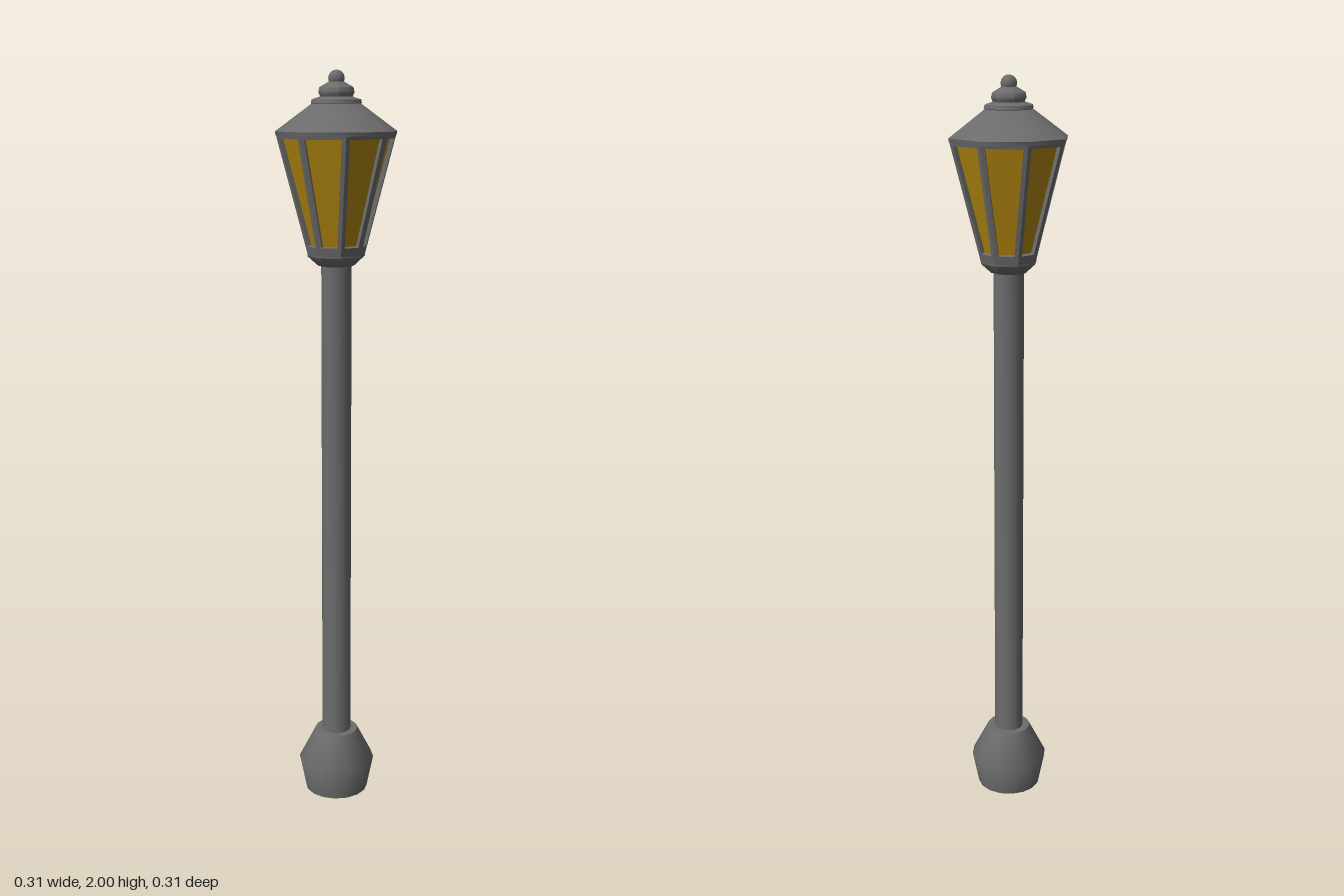
import * as THREE from 'three';
import { toCreasedNormals } from 'three/addons/utils/BufferGeometryUtils.js';

const metal = new THREE.MeshStandardMaterial({ color: 0x6c6c6c });
metal.name = 'grey metal';
const amber = new THREE.MeshStandardMaterial({ color: 0xb0850f });
amber.name = 'amber glass';

const SIDES = 8;
const TURN = 0.2; // twist of the octagonal head around the post

// Turned part from [radius, height] pairs, listed bottom to top
function turned(name, profile, sides, turn = 0) {
  const points = profile.map(([r, y]) => new THREE.Vector2(r, y));
  const geometry = toCreasedNormals(new THREE.LatheGeometry(points, sides), 0.83);
  const mesh = new THREE.Mesh(geometry, metal);
  mesh.name = name;
  mesh.rotation.y = turn;
  return mesh;
}

// Mesh from quads given counter-clockwise as seen from outside
function quadMesh(name, quads, material) {
  const positions = [];
  for (const [a, b, c, d] of quads) {
    for (const p of [a, b, c, a, c, d]) positions.push(p.x, p.y, p.z);
  }
  const geometry = new THREE.BufferGeometry();
  geometry.setAttribute('position', new THREE.Float32BufferAttribute(positions, 3));
  geometry.computeVertexNormals();
  const mesh = new THREE.Mesh(geometry, material);
  mesh.name = name;
  return mesh;
}

// Eight tapered windows: a border, a reveal stepping inwards, and a recessed pane
function createLantern() {
  const bottom = { y: 1.535, r: 0.076 };
  const top = { y: 1.842, r: 0.157 };
  const border = 0.011;
  const depth = 0.012;
  const frame = [];
  const panes = [];
  const corner = (level, i) => {
    const angle = TURN + (i * Math.PI * 2) / SIDES;
    return new THREE.Vector3(Math.sin(angle) * level.r, level.y, Math.cos(angle) * level.r);
  };
  for (let i = 0; i < SIDES; i++) {
    const outer = [corner(bottom, i), corner(bottom, i + 1), corner(top, i + 1), corner(top, i)];
    const along = outer[1].clone().sub(outer[0]).normalize();
    const up = outer[2].clone().add(outer[3]).sub(outer[0]).sub(outer[1]).normalize();
    const inward = up.clone().cross(along).normalize().multiplyScalar(depth);
    // Pull the opening in from each edge of the side
    const lowIn = 0.022, highIn = 0.012;
    const inner = [
      outer[0].clone().lerp(outer[3], lowIn / 0.31).addScaledVector(along, border),
      outer[1].clone().lerp(outer[2], lowIn / 0.31).addScaledVector(along, -border),
      outer[2].clone().lerp(outer[1], highIn / 0.31).addScaledVector(along, -border),
      outer[3].clone().lerp(outer[0], highIn / 0.31).addScaledVector(along, border),
    ];
    const recessed = inner.map((p) => p.clone().add(inward));
    for (let k = 0; k < 4; k++) {
      const n = (k + 1) % 4;
      frame.push([outer[k], outer[n], inner[n], inner[k]]);
      frame.push([inner[k], inner[n], recessed[n], recessed[k]]);
    }
    panes.push(recessed);
  }
  const lantern = new THREE.Group();
  lantern.name = 'lantern';
  lantern.add(quadMesh('windowFrame', frame, metal), quadMesh('windowPanes', panes, amber));
  return lantern;
}

export function createModel() {
  const model = new THREE.Group();
  model.name = 'streetLamp';

  // Foot and post
  model.add(turned('foot', [[0, 0], [0.088, 0], [0.106, 0.09], [0.06, 0.18], [0, 0.18]], 16));
  model.add(turned('post', [[0.04, 0.15], [0.04, 1.52]], 16));

  // Collar flaring out under the lantern
  model.add(turned('collar', [[0, 1.505], [0.048, 1.505], [0.076, 1.53], [0.076, 1.536]], SIDES, TURN));
  model.add(createLantern());

  // Roof with a thin rim
  model.add(turned('roof', [
    [0, 1.838], [0.157, 1.838], [0.159, 1.848], [0.062, 1.918], [0, 1.918],
  ], SIDES, TURN));

  // Stepped cap
  model.add(turned('cap', [
    [0.058, 1.912], [0.066, 1.918], [0.064, 1.927], [0.042, 1.934],
    [0.047, 1.944], [0.044, 1.957], [0.026, 1.967], [0.018, 1.972], [0, 1.972],
  ], SIDES, TURN));

  // Finial ball
  const finial = new THREE.Mesh(new THREE.SphereGeometry(0.021, 12, 8), metal);
  finial.name = 'finial';
  finial.position.y = 1.979;
  model.add(finial);

  return model;
}
